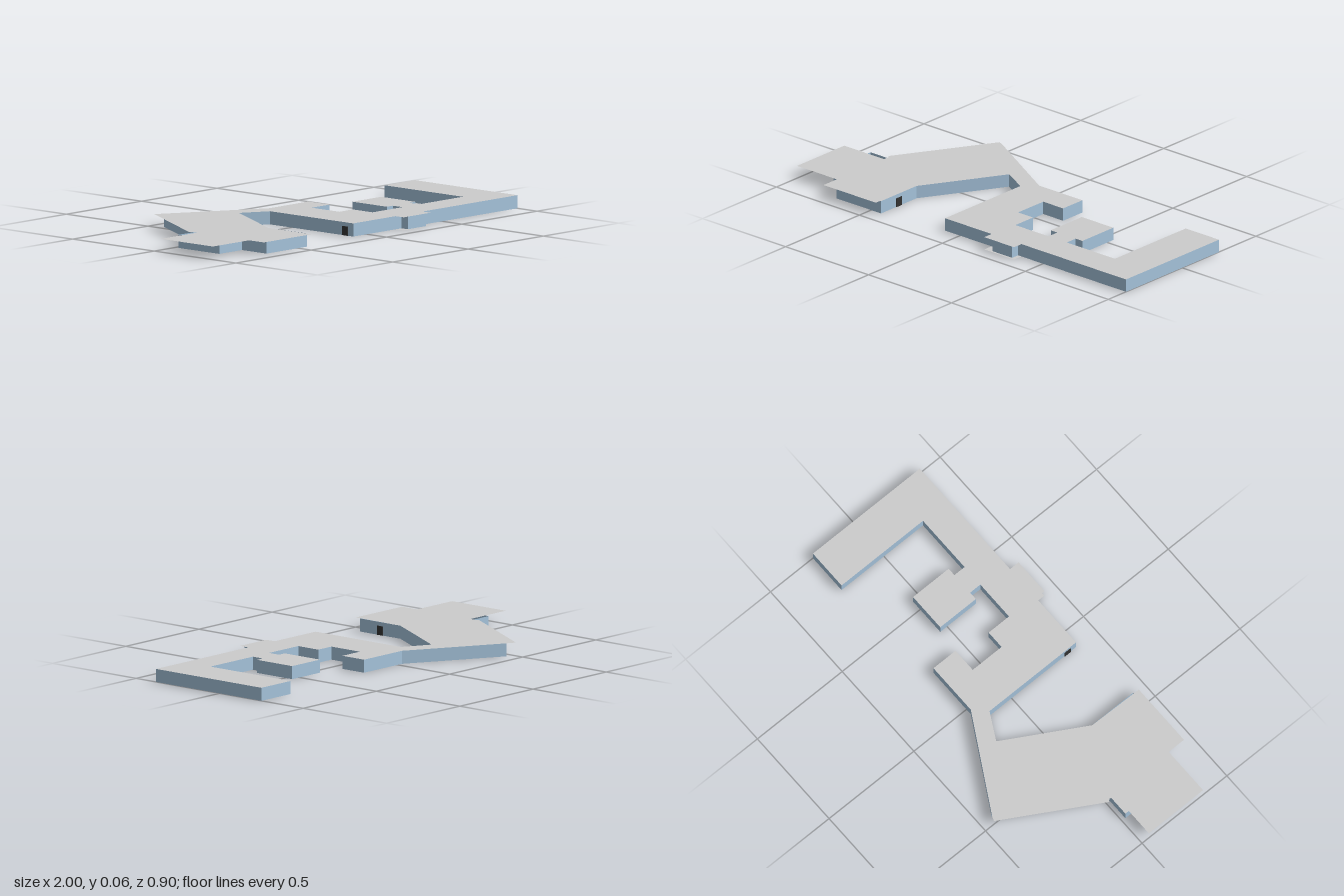
import * as THREE from 'three';

const H = 0.06; // storey height
const grey = new THREE.MeshStandardMaterial({ color: 0xcccccc, side: THREE.DoubleSide });
const blue = new THREE.MeshStandardMaterial({ color: 0xa6c4dc, side: THREE.DoubleSide });
const dark = new THREE.MeshStandardMaterial({ color: 0x333333, side: THREE.DoubleSide });

// Flat horizontal plate from an [x, z] outline
function plate(name, outline, y) {
  const shape = new THREE.Shape(outline.map(([x, z]) => new THREE.Vector2(x, z)));
  const geo = new THREE.ShapeGeometry(shape);
  geo.rotateX(Math.PI / 2);
  // a roof faces up, a floor faces down
  if (y > 0) {
    const idx = geo.index.array;
    for (let i = 0; i < idx.length; i += 3) [idx[i], idx[i + 1]] = [idx[i + 1], idx[i]];
    geo.computeVertexNormals();
  }
  const mesh = new THREE.Mesh(geo, grey);
  mesh.position.y = y;
  mesh.name = name;
  return mesh;
}

// Upright walls along an outline listed clockwise as seen from below (faces outward)
function walls(name, outline) {
  const flat = outline.map(([x, z]) => new THREE.Vector2(x, z));
  const pts = THREE.ShapeUtils.area(flat) > 0 ? [...outline].reverse() : outline;
  const pos = [];
  pts.forEach(([x0, z0], i) => {
    const [x1, z1] = pts[(i + 1) % pts.length];
    pos.push(x0, 0, z0, x1, 0, z1, x1, H, z1, x0, 0, z0, x1, H, z1, x0, H, z0);
  });
  const geo = new THREE.BufferGeometry();
  geo.setAttribute('position', new THREE.Float32BufferAttribute(pos, 3));
  geo.computeVertexNormals();
  const mesh = new THREE.Mesh(geo, blue);
  mesh.name = name;
  return mesh;
}

function block(name, floor, roof = floor) {
  const g = new THREE.Group();
  g.name = name;
  g.add(plate(name + 'Floor', floor, 0), walls(name + 'Walls', floor), plate(name + 'Roof', roof, H));
  return g;
}

const rect = (x0, x1, z0, z1) => [[x0, z0], [x1, z0], [x1, z1], [x0, z1]];

export function createModel() {
  const model = new THREE.Group();
  model.name = 'building';

  // Main building with its courtyards and the pavilion on a neck
  model.add(block('mainBuilding', [
    [-0.09, 0.38], [1, 0.38], [1, -0.25], [0.8, -0.25], [0.8, 0.23],
    [0.51, 0.23], [0.51, 0.17], [0.55, 0.17], [0.55, -0.04], [0.36, -0.04],
    [0.36, 0.17], [0.4, 0.17], [0.4, 0.23], [0.2, 0.23], [0.2, 0.11],
    [0.11, 0.11], [0.11, -0.06], [0.23, -0.06], [0.23, -0.19], [-0.03, -0.19],
    [-0.09, -0.13],
  ]));

  // Angled wing; its roof overhangs the walls on the outer sides
  const wingFloor = [
    [-0.03, -0.19], [-0.465, -0.435], [-0.725, 0.02], [-0.86, 0.02], [-0.86, 0.27],
    [-0.71, 0.27], [-0.71, 0.42], [-0.44, 0.42], [-0.44, 0.18], [-0.22, -0.2], [-0.09, -0.13],
  ];
  const wingRoof = [
    [-0.03, -0.19], [-0.48, -0.445], [-0.505, -0.455], [-0.77, 0], [-0.76, 0.01], [-0.76, 0.04],
    [-1, 0.04], [-1, 0.36], [-0.76, 0.36], [-0.76, 0.45], [-0.445, 0.45],
    [-0.44, 0.18], [-0.22, -0.2], [-0.09, -0.13],
  ];
  model.add(block('angledWing', wingFloor, wingRoof));

  // Front entrance porch with a slightly wider slab and canopy
  model.add(walls('porchWalls', rect(0.23, 0.35, 0.38, 0.42)));
  model.add(plate('porchSlab', rect(0.19, 0.37, 0.38, 0.43), 0));
  model.add(plate('porchCanopy', rect(0.19, 0.37, 0.38, 0.43), H));

  // Side doors
  for (const [x, z, side] of [[-0.44, 0.3, 1], [-0.09, 0.33, -1]]) {
    const door = new THREE.Mesh(new THREE.BoxGeometry(0.004, 0.042, 0.035), dark);
    door.position.set(x + side * 0.001, 0.021, z);
    door.name = 'sideDoor';
    model.add(door);
  }
  return model;
}
